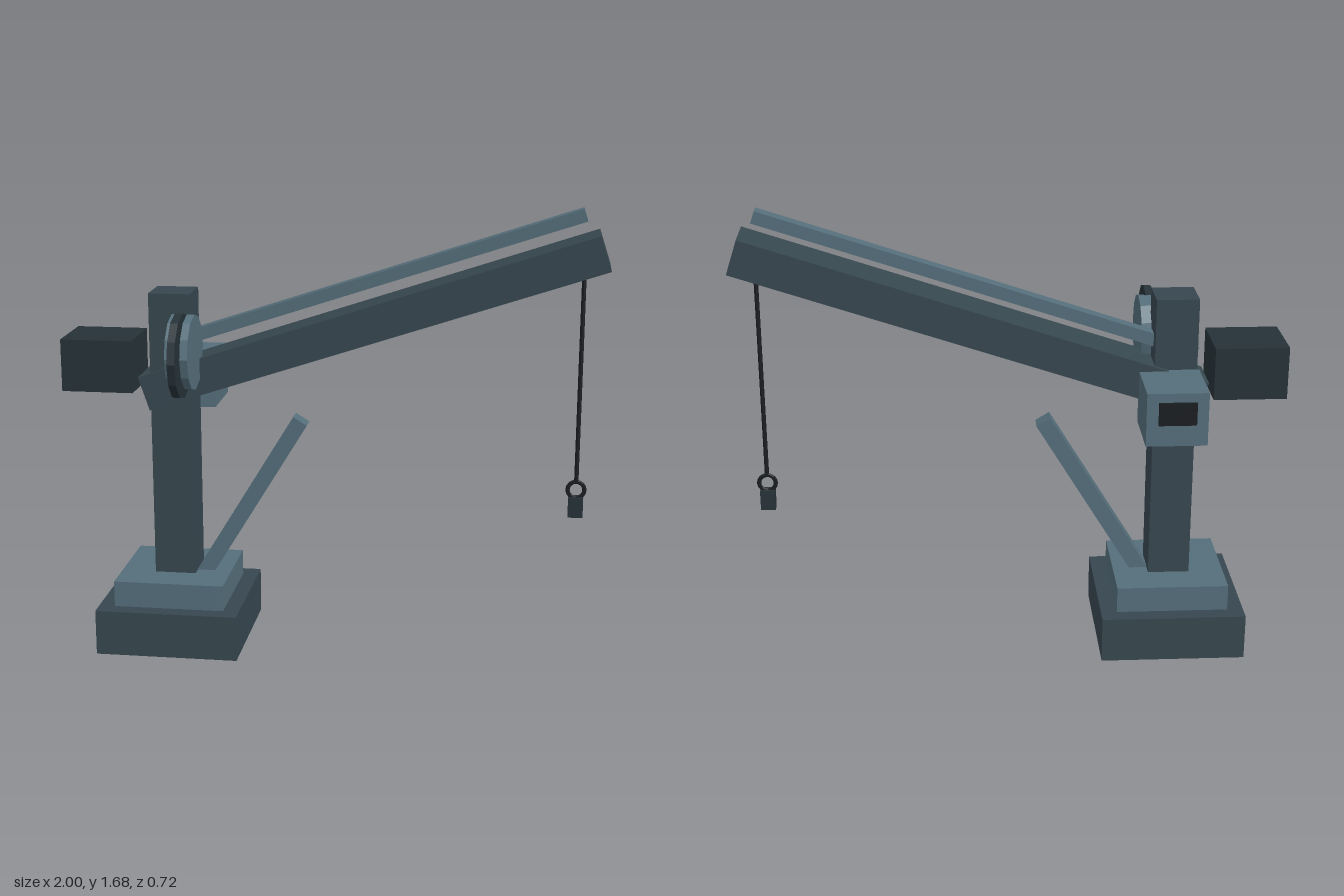
import * as THREE from 'three';

const material = (color) => new THREE.MeshStandardMaterial({ color, flatShading: true });

export function createModel() {
  const crane = new THREE.Group();
  crane.name = 'crane';
  const steel = material(0x37474f);
  const light = material(0x546e7a);
  const dark = material(0x263238);
  const black = material(0x1a1d20);
  const mastX = -0.597, midZ = -0.027; // mast axis and boom plane

  const add = (name, geometry, mat, x, y, z = midZ) => {
    const mesh = new THREE.Mesh(geometry, mat);
    mesh.name = name;
    mesh.position.set(x, y, z);
    crane.add(mesh);
    return mesh;
  };
  const box = (name, mat, w, h, d, x, y, z) =>
    add(name, new THREE.BoxGeometry(w, h, d), mat, x, y, z);
  // Square beam between two points in the boom plane
  const beam = (name, mat, [x1, y1], [x2, y2], h, d) => {
    const length = Math.hypot(x2 - x1, y2 - y1);
    const mesh = box(name, mat, length, h, d, (x1 + x2) / 2, (y1 + y2) / 2);
    mesh.rotation.z = Math.atan2(y2 - y1, x2 - x1);
  };
  // Twelve-sided disc with its axle along x
  const disc = (name, mat, r, width, x, z) => {
    const mesh = add(name, new THREE.CylinderGeometry(r, r, width, 12), mat, x, 1.154, z);
    mesh.rotation.z = Math.PI / 2;
  };

  // Stepped base and mast
  box('base', steel, 0.536, 0.172, 0.536, mastX, 0.086);
  box('plinth', light, 0.416, 0.1, 0.416, mastX, 0.22);
  box('mast', steel, 0.155, 1.08, 0.155, mastX, 0.81);

  // Boom, tie rod above it and brace below
  beam('boom', steel, [-0.697, 0.973], [0.978, 1.532], 0.132, 0.187);
  beam('tieRod', light, [-0.68, 1.13], [0.904, 1.658], 0.046, 0.056);
  beam('brace', light, [-0.526, 0.205], [-0.12, 0.872], 0.06, 0.067);

  // Counterweight behind the mast
  box('counterweight', dark, 0.268, 0.196, 0.245, -0.866, 1.08);

  // Motor housing with a cover panel on its back
  box('motorHousing', light, 0.22, 0.198, 0.246, -0.572, 0.986, -0.227);
  box('motorPanel', black, 0.135, 0.083, 0.02, -0.572, 1.01, -0.352);

  // Winch
  disc('winchDrum', light, 0.139, 0.083, -0.525, 0.14);
  disc('winchFlange', dark, 0.156, 0.028, -0.525, 0.206);

  // Cable, ring and hook weight
  add('cable', new THREE.CylinderGeometry(0.008, 0.008, 0.79, 8), black, 0.906, 1.06);
  add('hookRing', new THREE.TorusGeometry(0.031, 0.008, 6, 16), black, 0.906, 0.638);
  box('hookWeight', dark, 0.055, 0.076, 0.04, 0.906, 0.573);

  return crane;
}
